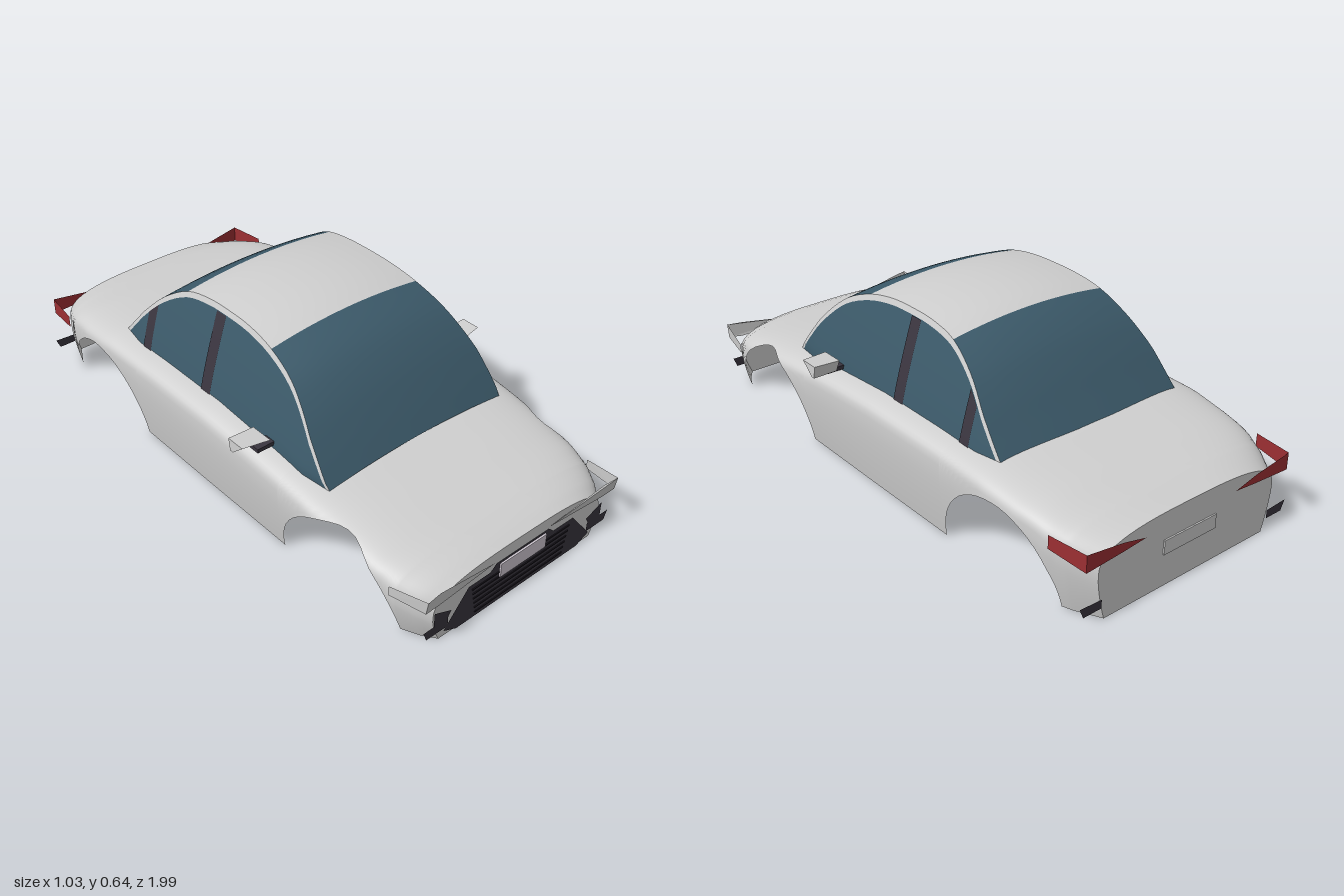
import * as THREE from 'three';

const mat = (name, color) =>
  new THREE.MeshStandardMaterial({ name, color, side: THREE.DoubleSide });

const paint = mat('body paint', 0xd0d0d0);
const glass = mat('tinted glass', 0x3c5a6a);
const dark = mat('dark trim', 0x3a353f);
const black = mat('slat black', 0x1e1b22);
const red = mat('tail light red', 0x9c2f33);
const lamp = mat('lamp cover', 0xc9c9c9);
const plateMat = mat('plate', 0xd2cad4);

// Linear lookup in a table of [z, value] with falling z
function lookup(table, z) {
  for (let i = 1; i < table.length; i++) {
    const [z0, v0] = table[i - 1], [z1, v1] = table[i];
    if (z >= z1) return v0 + (v1 - v0) * Math.max(0, (z0 - z) / (z0 - z1));
  }
  return table[table.length - 1][1];
}

// Smooth skin over rows of [x, y, z] points, rows running from front to back
function loft(rows) {
  const n = rows[0].length, index = [];
  for (let i = 0; i < rows.length - 1; i++)
    for (let j = 0; j < n - 1; j++) {
      const a = i * n + j, d = a + n;
      index.push(a, d, d + 1, a, d + 1, a + 1);
    }
  const g = new THREE.BufferGeometry();
  g.setAttribute('position', new THREE.Float32BufferAttribute(rows.flat(2), 3));
  g.setIndex(index);
  g.computeVertexNormals();
  return g;
}

// Flat face from a loop of [x, y, z] corners
function face(pts) {
  const out = [];
  for (let i = 1; i < pts.length - 1; i++) out.push(pts[0], pts[i], pts[i + 1]);
  const g = new THREE.BufferGeometry();
  g.setAttribute('position', new THREE.Float32BufferAttribute(out.flat(), 3));
  g.computeVertexNormals();
  return g;
}

// Hood-to-trunk height and half width along the length
const HEIGHT = [[0.975, 0.205], [0.93, 0.222], [0.87, 0.237], [0.785, 0.253], [0.68, 0.273],
  [0.53, 0.298], [0.35, 0.32], [0.2, 0.333], [0, 0.344], [-0.3, 0.343], [-0.57, 0.335],
  [-0.77, 0.308], [-0.9, 0.283], [-0.98, 0.262]];
const WIDTH = [[0.975, 0.368], [0.93, 0.4], [0.87, 0.428], [0.78, 0.445], [0.65, 0.454],
  [0.4, 0.459], [0, 0.461], [-0.6, 0.461], [-0.72, 0.452], [-0.83, 0.437], [-0.9, 0.412], [-0.98, 0.37]];
const ARCHES = [[0.628, 0.247], [-0.622, 0.243]];

// Lower edge of the shell, raised over the wheels
function sill(z) {
  for (const [c, r] of ARCHES) {
    const t = (z - c) / r;
    if (Math.abs(t) < 1) return 0.255 * Math.sqrt(1 - t * t);
  }
  return 0;
}

// One cross-section: flared side, rounded shoulder and flat crown
function section(z, steps = 22) {
  const h = lookup(HEIGHT, z), w = lookup(WIDTH, z), yb = Math.min(sill(z), h - 0.015);
  const end = Math.max(0, (Math.abs(z) - 0.8) / 0.18);
  const rise = 0.09 + 0.02 * end, n = 4 - end, ym = h - rise;
  const s0 = yb < ym ? 0.4 * yb / ym
    : 0.4 + 0.6 * Math.asin(Math.pow((yb - ym) / rise, n / 2)) / (Math.PI / 2);
  const half = [];
  for (let k = 0; k <= steps; k++) {
    const s = s0 + (1 - s0) * k / steps;
    if (s < 0.4) {
      const v = s / 0.4;
      half.push([w - 0.03 * (1 - v) ** 1.5, ym * v, z]);
    } else {
      const a = Math.min(1, (s - 0.4) / 0.6) * Math.PI / 2;
      half.push([w * Math.pow(Math.max(0, Math.cos(a)), 2 / n), ym + rise * Math.pow(Math.sin(a), 2 / n), z]);
    }
  }
  half[steps][0] = 0;
  return [...half, ...half.slice(0, -1).reverse().map(([x, y]) => [-x, y, z])];
}

export function createModel() {
  const model = new THREE.Group();
  model.name = 'carBody';
  const add = (name, geometry, material) => {
    const m = new THREE.Mesh(geometry, material);
    m.name = name;
    model.add(m);
    return m;
  };
  const mirrored = (name, pts, material) => {
    add('left' + name, face(pts), material);
    add('right' + name, face(pts.map(([x, y, z]) => [-x, y, z]).reverse()), material);
  };
  const flat = (pts, z) => pts.map(([x, y]) => [x, y, z]);

  // Body shell
  const zs = [0.975, 0.95, 0.93, 0.9, -0.885, -0.9, -0.94, -0.98];
  for (let i = 0; i <= 16; i++) zs.push(0.365 - 0.73 * i / 16);
  for (const [c, r] of ARCHES)
    for (let i = 0; i <= 24; i++) zs.push(c + r * Math.cos(Math.PI * i / 24));
  zs.sort((a, b) => b - a);
  add('bodyShell', loft(zs.map(z => section(z))), paint);
  add('nosePanel', face([[0, 0, 0.975], ...section(0.975)]), paint);
  add('tailPanel', face([[0, 0, -0.98], ...section(-0.98).reverse()]), paint);

  // Cabin profile along the centre line
  const profile = [[0.525, 0.312], [0.46, 0.40], [0.38, 0.495], [0.29, 0.57], [0.175, 0.618],
    [0.06, 0.64], [-0.05, 0.644], [-0.15, 0.64], [-0.26, 0.618], [-0.37, 0.553], [-0.45, 0.476],
    [-0.515, 0.4], [-0.57, 0.335]];
  const curve = new THREE.CatmullRomCurve3(profile.map(([z, y]) => new THREE.Vector3(0, y, z)));
  const SUB = 4, count = (profile.length - 1) * SUB;
  const spine = [];
  for (let i = 0; i <= count; i++) {
    const p = curve.getPoint(i / count);
    spine.push([p.z, p.y]);
  }
  const sideX = (y, z) => 0.39 - 0.09 * Math.pow(Math.max(0, (y - 0.31) / 0.305), 1.15)
    - 0.02 * Math.max(0, (Math.abs(z + 0.02) - 0.44) / 0.11);
  const edgeY = y => y - 0.024;
  const belt = z => lookup(HEIGHT, z) - 0.025;
  const paneTop = (z, y) => Math.max(belt(z), edgeY(y) - 0.02);

  // Windshield, roof and rear window share one crowned skin
  const crown = spine.map(([z, y]) => {
    const row = [], e = sideX(edgeY(y), z);
    for (let j = 0; j <= 12; j++) {
      const u = 1 - j / 6;
      row.push([e * u, y - 0.024 * u * u, z]);
    }
    return row;
  });
  add('windshield', loft(crown.slice(0, 4 * SUB + 1)), glass);
  add('roof', loft(crown.slice(4 * SUB, 8 * SUB + 1)), paint);
  add('rearWindow', loft(crown.slice(8 * SUB)), glass);

  // Side windows, their frames and the dark pillars
  for (const s of [1, -1]) {
    const side = s > 0 ? 'left' : 'right';
    const strip = (z, y0, y1, out, n) => {
      const row = [];
      for (let j = 0; j <= n; j++) {
        const y = y0 + (y1 - y0) * j / n;
        row.push([s * (sideX(y, z) + out), y, z]);
      }
      return s > 0 ? row : row.reverse();
    };
    add(side + 'WindowFrame', loft(spine.map(([z, y]) =>
      strip(z, paneTop(z, y), Math.max(belt(z), edgeY(y)), 0, 1))), paint);
    add(side + 'SideWindow', loft(spine.map(([z, y]) => strip(z, belt(z), paneTop(z, y), 0, 8))), glass);
    for (const [name, z0, z1] of [['DoorPillar', -0.052, -0.1], ['QuarterPillar', -0.39, -0.432]])
      add(side + name, loft([0, 1, 2].map(i => {
        const z = z0 + (z1 - z0) * i / 2;
        return strip(z, belt(z), paneTop(z, lookup(spine, z)), 0.003, 8);
      })), dark);

    // Wing mirror: the head tapers toward its underside
    const head = new THREE.BoxGeometry(0.095, 0.044, 0.08);
    const p = head.attributes.position;
    for (let i = 0; i < p.count; i++) {
      const outer = p.getX(i) > 0, low = p.getY(i) < 0, front = p.getZ(i) > 0;
      const z = front ? (low ? 0.25 : 0.3) : (low ? 0.222 : 0.215);
      p.setXYZ(i, outer ? 0.513 : (low ? 0.425 : 0.416), low ? 0.332 : (outer ? 0.376 : 0.37),
        z - (outer && front ? 0.015 : 0));
    }
    head.computeVertexNormals();
    if (s < 0) head.rotateZ(Math.PI).scale(1, -1, 1).index.array.reverse();
    head.computeVertexNormals();
    add(side + 'MirrorHead', head, paint);
    add(side + 'MirrorStem', new THREE.BoxGeometry(0.075, 0.014, 0.04), dark)
      .position.set(s * 0.412, 0.328, 0.258);
  }

  // Grille with slats and front plate
  add('grille', face(flat([[-0.23, 0.145], [-0.325, 0.028], [-0.27, 0.002], [0.27, 0.002],
    [0.325, 0.028], [0.23, 0.145]], 0.981)), dark);
  add('grilleTop', face(flat([[-0.14, 0.145], [0.14, 0.145], [0.115, 0.168], [-0.115, 0.168]], 0.981)), dark);
  for (let i = 0; i < 6; i++)
    add('grilleSlat', new THREE.BoxGeometry(0.43 - 0.008 * Math.abs(i - 5), 0.005, 0.004), black)
      .position.set(0, 0.022 + i * 0.0205, 0.982);
  add('frontPlate', new THREE.BoxGeometry(0.2, 0.053, 0.006), plateMat).position.set(0, 0.133, 0.985);
  add('rearPlate', new THREE.BoxGeometry(0.22, 0.05, 0.006), paint).position.set(0, 0.14, -0.982);

  // Headlights wrap round the corners
  mirrored('Headlight', [[0.12, 0.172, 0.98], [0.36, 0.158, 0.985], [0.415, 0.165, 0.99],
    [0.415, 0.215, 0.998], [0.36, 0.212, 0.99]], lamp);
  mirrored('HeadlightSide', [[0.415, 0.165, 0.99], [0.437, 0.155, 0.86], [0.437, 0.19, 0.86],
    [0.415, 0.215, 0.998]], lamp);

  // Front air intakes
  mirrored('IntakeUpper', flat([[0.3, 0.1], [0.325, 0.055], [0.37, 0.07], [0.37, 0.13]], 0.983), dark);
  mirrored('IntakeLower', flat([[0.31, 0.04], [0.397, 0.04], [0.41, 0.075], [0.31, 0.075]], 0.982), dark);

  // Tail lights and rear bumper vents
  mirrored('TailLight', [[0.19, 0.212, -0.985], [0.28, 0.235, -0.986], [0.425, 0.258, -0.988],
    [0.425, 0.198, -0.988], [0.28, 0.205, -0.986]], red);
  mirrored('TailLightSide', [[0.425, 0.258, -0.988], [0.442, 0.258, -0.85], [0.442, 0.212, -0.85],
    [0.425, 0.198, -0.988]], red);
  mirrored('RearVent', flat([[0.355, 0.045], [0.355, 0.075], [0.44, 0.08], [0.425, 0.045]], -0.984), dark);

  return model;
}
